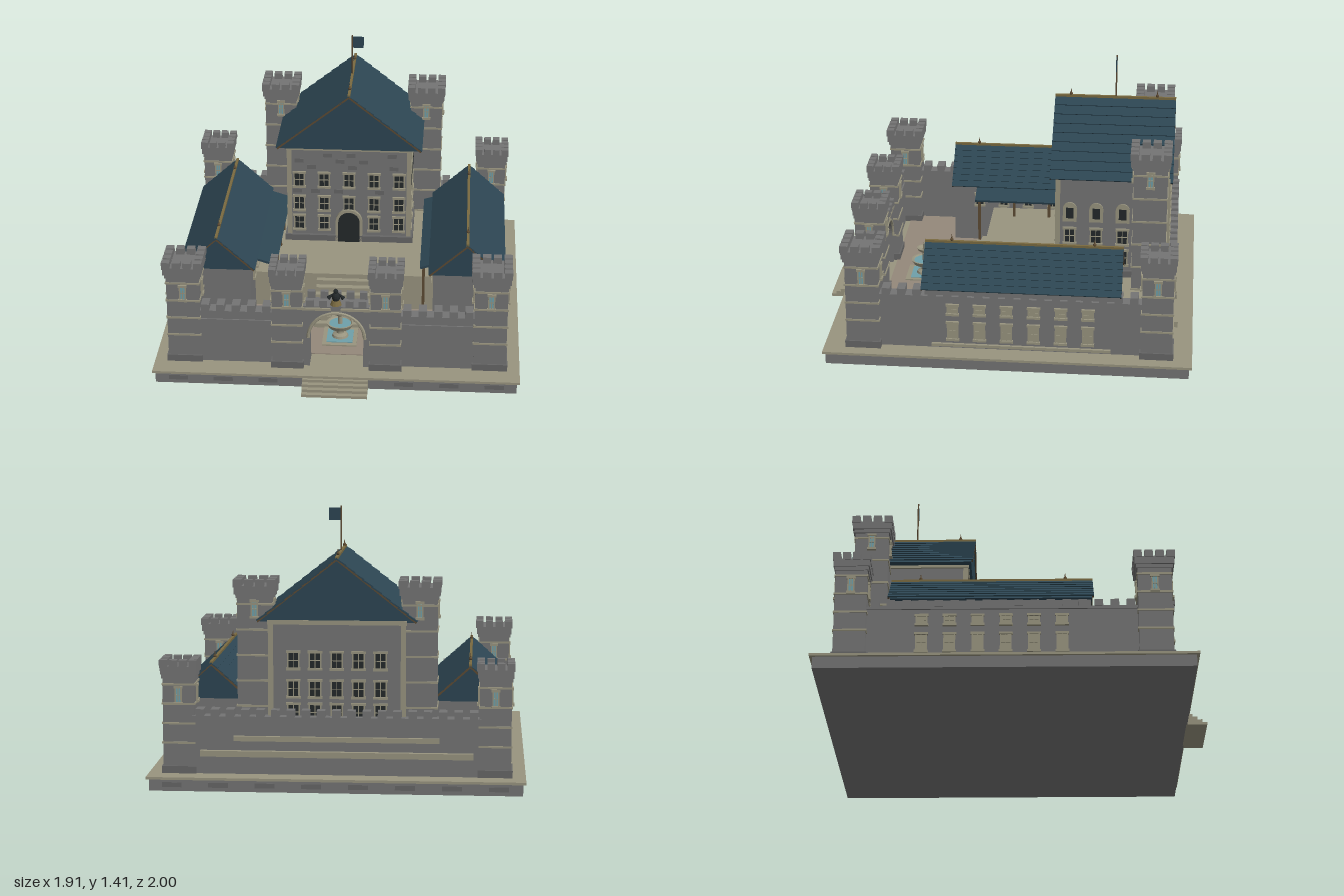
import * as THREE from 'three';

const mat = (color) => new THREE.MeshStandardMaterial({ color, side: THREE.DoubleSide, flatShading: true });
const STONE = mat(0x747474), DARKSTONE = mat(0x666666), BEIGE = mat(0x98947f), PAVING = mat(0x94887a);
const ROOF = mat(0x2c4552), DARK = mat(0x23282a), GLASS = mat(0x6fa0aa), WOOD = mat(0x5c4a33), GOLD = mat(0x7a6a40);

function add(parent, name, geo, material, x = 0, y = 0, z = 0) {
  const m = new THREE.Mesh(geo, material);
  m.name = name;
  m.position.set(x, y, z);
  parent.add(m);
  return m;
}

// box given by its extents
function box(parent, name, material, x0, x1, y0, y1, z0, z1) {
  return add(parent, name, new THREE.BoxGeometry(Math.abs(x1 - x0), y1 - y0, z1 - z0), material,
    (x0 + x1) / 2, (y0 + y1) / 2, (z0 + z1) / 2);
}

function group(parent, name, x = 0, y = 0, z = 0, ry = 0) {
  const g = new THREE.Group();
  g.name = name;
  g.position.set(x, y, z);
  g.rotation.y = ry;
  parent.add(g);
  return g;
}

// framed window facing +z of its own group, standing on y
function windowUnit(parent, x, y, z, ry, w, h, pane = DARK) {
  const g = group(parent, 'window', x, y, z, ry);
  box(g, 'pane', pane, -w / 2, w / 2, 0, h, -0.005, 0.004);
  for (const s of [-1, 1]) box(g, 'jamb', BEIGE, s * w / 2, s * (w / 2 + 0.007), 0, h, -0.005, 0.009);
  box(g, 'lintel', BEIGE, -w / 2 - 0.012, w / 2 + 0.012, h, h + 0.012, -0.005, 0.011);
  box(g, 'sill', BEIGE, -w / 2 - 0.012, w / 2 + 0.012, -0.012, 0, -0.005, 0.014);
  box(g, 'mullion', BEIGE, -0.002, 0.002, 0, h, 0, 0.007);
  box(g, 'transom', BEIGE, -w / 2, w / 2, h * 0.5 - 0.002, h * 0.5 + 0.002, 0, 0.007);
}

// upright shape with a round arched top
function archShape(Kind, halfW, y0, spring) {
  const s = new Kind();
  s.moveTo(-halfW, y0);
  s.lineTo(halfW, y0);
  s.lineTo(halfW, spring);
  s.absarc(0, spring, halfW, 0, Math.PI, false);
  s.lineTo(-halfW, y0);
  return s;
}

// square tower with string courses, corbelled head, merlons and slit windows
function tower(parent, name, x, z, w, head, top, bandStep, slitY) {
  const g = group(parent, name, x, 0, z), a = w / 2, b = head / 2, hy = top - 0.075;
  box(g, 'shaft', STONE, -a, a, 0.07, hy, -a, a);
  box(g, 'footing', DARKSTONE, -a - 0.008, a + 0.008, 0.07, 0.11, -a - 0.008, a + 0.008);
  for (let y = hy - 0.05; y > 0.15; y -= bandStep)
    box(g, 'stringCourse', BEIGE, -a - 0.005, a + 0.005, y - 0.005, y + 0.005, -a - 0.005, a + 0.005);
  box(g, 'corbel', STONE, -(a + b) / 2, (a + b) / 2, hy - 0.02, hy, -(a + b) / 2, (a + b) / 2);
  box(g, 'head', STONE, -b, b, hy, hy + 0.042, -b, b);
  const m = head * 0.17, step = (head - m) / 3;
  for (let i = 0; i < 4; i++) for (let j = 0; j < 4; j++) {
    if (i % 3 && j % 3) continue;
    const mx = -b + m / 2 + i * step, mz = -b + m / 2 + j * step;
    add(g, 'merlon', new THREE.BoxGeometry(m + 0.008, 0.04, m + 0.008), STONE, mx, top - 0.02, mz);
  }
  for (let k = 0; k < 4; k++) {
    const r = k * Math.PI / 2;
    windowUnit(g, Math.sin(r) * a, slitY, Math.cos(r) * a, r, 0.022, 0.07, GLASS);
  }
}

// crenellated wall running along x of its own group
function wall(parent, name, x, z, ry, len, thick = 0.055, y0 = 0.07, top = 0.37) {
  const g = group(parent, name, x, 0, z, ry), t = thick / 2, n = Math.round(len / 0.078);
  box(g, 'wallBody', STONE, -len / 2, len / 2, y0, top, -t, t);
  box(g, 'coping', STONE, -len / 2, len / 2, top - 0.015, top, -t - 0.008, t + 0.008);
  for (let i = 0; i < n; i++) {
    const cx = -len / 2 + (i + 0.5) * len / n;
    box(g, 'merlon', STONE, cx - 0.021, cx + 0.021, top, top + 0.035, -t - 0.009, t + 0.009);
  }
  return g;
}

// gabled roof along z with overlapping courses, ridge cap and finials
function roof(parent, name, x, half, eave, ridge, z0, z1, courses, finials) {
  const g = group(parent, name, x, 0, 0), len = z1 - z0, h = ridge - eave - 0.015;
  const tri = new THREE.Shape([new THREE.Vector2(-half + 0.01, eave), new THREE.Vector2(half - 0.01, eave), new THREE.Vector2(0, eave + h)]);
  add(g, 'gableBody', new THREE.ExtrudeGeometry(tri, { depth: len - 0.02, bevelEnabled: false }), ROOF, 0, 0, z0 + 0.01);
  const slope = Math.hypot(half, h), ang = Math.atan2(h, half);
  for (const s of [-1, 1]) for (let i = 0; i < courses; i++) {
    const t = (i + 0.5) / courses;
    const b = add(g, 'tileCourse', new THREE.BoxGeometry(slope / courses + 0.008, 0.007, len), ROOF,
      s * half * (1 - t), eave + h * t + 0.006, (z0 + z1) / 2);
    b.rotation.z = -s * (ang - 0.09);
  }
  for (const s of [-1, 1]) for (const z of [z0 + 0.004, z1 - 0.004]) {
    const v = add(g, 'verge', new THREE.BoxGeometry(slope, 0.01, 0.008), WOOD, s * half / 2, eave + h / 2, z);
    v.rotation.z = -s * ang;
  }
  box(g, 'ridgeCap', GOLD, -0.007, 0.007, ridge - 0.014, ridge, z0, z1);
  for (const z of finials) {
    add(g, 'finialBall', new THREE.SphereGeometry(0.009, 8, 6), WOOD, 0, ridge + 0.006, z);
    add(g, 'finialSpike', new THREE.ConeGeometry(0.006, 0.035, 6), WOOD, 0, ridge + 0.02, z);
  }
}

function keep(root) {
  const g = group(root, 'keep');
  box(g, 'keepWalls', STONE, -0.34, 0.34, 0.07, 0.86, -0.85, -0.26);
  box(g, 'keepPlinth', DARKSTONE, -0.36, 0.36, 0.28, 0.315, -0.87, -0.24);
  box(g, 'cornice', BEIGE, -0.352, 0.352, 0.835, 0.858, -0.862, -0.248);
  for (const x of [-0.335, 0.335]) for (const z of [-0.845, -0.265])
    box(g, 'quoinStrip', BEIGE, x - 0.013, x + 0.013, 0.28, 0.84, z - 0.013, z + 0.013);
  for (const y of [0.35, 0.47, 0.615]) {
    for (let i = -2; i <= 2; i++) {
      if (i || y > 0.4) windowUnit(g, i * 0.14, y, -0.26, 0, 0.05, 0.075);
      windowUnit(g, i * 0.11, y, -0.85, Math.PI, 0.05, 0.075);
    }
    for (const s of [-1, 1]) for (const z of [-0.33, -0.47, -0.61]) {
      if (y < 0.6) windowUnit(g, s * 0.34, y, z, s * Math.PI / 2, 0.05, 0.075);
      else {
        const a = group(g, 'archedWindow', s * 0.34, 0, z, s * Math.PI / 2);
        add(a, 'archedPane', new THREE.ExtrudeGeometry(archShape(THREE.Shape, 0.037, 0.59, 0.663), { depth: 0.008, bevelEnabled: false, curveSegments: 8 }), BEIGE);
        box(a, 'archedGlass', DARK, -0.02, 0.02, 0.61, 0.67, 0, 0.01);
      }
    }
  }
  // scattered facing stones
  for (let i = 0; i < 22; i++) {
    const x = -0.29 + ((i * 37) % 59) / 100, y = 0.57 + ((i * 5) % 7) * 0.037;
    if (y > 0.71 || y < 0.6) box(g, 'facingStone', DARKSTONE, x - 0.025, x + 0.025, y, y + 0.024, -0.262, -0.256);
  }
  const arch = archShape(THREE.Shape, 0.075, 0.28, 0.4);
  add(g, 'doorFrame', new THREE.ExtrudeGeometry(arch, { depth: 0.02, bevelEnabled: false, curveSegments: 12 }), BEIGE, 0, 0, -0.26);
  add(g, 'door', new THREE.ExtrudeGeometry(archShape(THREE.Shape, 0.06, 0.28, 0.4), { depth: 0.026, bevelEnabled: false, curveSegments: 12 }), DARK, 0, 0, -0.26);
  roof(g, 'keepRoof', 0, 0.4, 0.85, 1.18, -0.87, -0.225, 9, [-0.31, -0.77]);
  add(g, 'flagPole', new THREE.CylinderGeometry(0.004, 0.004, 0.24, 8), WOOD, 0, 1.29, -0.55);
  box(g, 'flag', ROOF, 0.003, 0.063, 1.335, 1.4, -0.552, -0.548);
}

function wing(root, s) {
  const g = group(root, s > 0 ? 'leftWing' : 'rightWing');
  box(g, 'wingWalls', STONE, s * 0.49, s * 0.835, 0.07, 0.42, -0.61, 0.385);
  roof(g, 'wingRoof', s * 0.67, 0.2, 0.41, 0.605, -0.63, 0.4, 7, [0.26, -0.48]);
  box(g, 'outerSill', BEIGE, s * 0.84, s * 0.86, 0.085, 0.1, -0.58, 0.35);
  for (let i = 0; i < 6; i++) {
    const z = 0.24 - i * 0.14;
    windowUnit(g, s * 0.847, 0.13, z, s * Math.PI / 2, 0.045, 0.085, BEIGE);
    windowUnit(g, s * 0.847, 0.275, z, s * Math.PI / 2, 0.045, 0.04, BEIGE);
    windowUnit(g, s * 0.49, 0.3, z, -s * Math.PI / 2, 0.04, 0.06);
  }
  // lean-to on the courtyard side
  const edge = s > 0 ? 0.42 : 0.365, w = 0.49 - edge;
  const r = add(g, 'leanToRoof', new THREE.BoxGeometry(w + 0.01, 0.012, 0.86), ROOF, s * (edge + w / 2), 0.392, -0.175);
  r.rotation.z = s * 0.3;
  for (let i = 0; i < 5; i++)
    box(g, 'leanToPost', WOOD, s * (edge + 0.008), s * (edge + 0.022), 0.28 - (i ? 0 : 0.21), 0.38, 0.225 - i * 0.2, 0.239 - i * 0.2);
}

function gate(root) {
  const g = group(root, 'gatehouse');
  const front = new THREE.Shape([[-0.18, 0.07], [0.18, 0.07], [0.18, 0.425], [-0.18, 0.425]].map((p) => new THREE.Vector2(...p)));
  front.holes.push(archShape(THREE.Path, 0.14, 0.071, 0.24));
  add(g, 'gateArch', new THREE.ExtrudeGeometry(front, { depth: 0.1, bevelEnabled: false, curveSegments: 16 }), STONE, 0, 0, 0.7);
  for (const z of [0.7, 0.8])
    add(g, 'archMoulding', new THREE.TorusGeometry(0.147, 0.009, 6, 20, Math.PI), BEIGE, 0, 0.24, z);
  box(g, 'gateCoping', BEIGE, -0.18, 0.18, 0.405, 0.418, 0.69, 0.81);
  for (const z of [0.7, 0.8]) for (let i = -2; i <= 2; i++)
    box(g, 'merlon', STONE, i * 0.068 - 0.02, i * 0.068 + 0.02, 0.425, 0.465, z - 0.012, z + 0.012);
  // ornament on a bracket above the arch
  const o = group(g, 'gateOrnament', 0, 0, 0.825);
  box(o, 'bracket', STONE, -0.025, 0.025, 0.43, 0.455, -0.03, 0.025);
  add(o, 'pedestal', new THREE.CylinderGeometry(0.02, 0.03, 0.025, 12), GOLD, 0, 0.467, 0);
  add(o, 'body', new THREE.SphereGeometry(0.022, 10, 8), DARK, 0, 0.498, 0).scale.y = 1.3;
  add(o, 'top', new THREE.SphereGeometry(0.013, 8, 6), DARK, 0, 0.535, 0.008);
  for (const s of [-1, 1]) add(o, 'sideLobe', new THREE.ConeGeometry(0.012, 0.04, 6), DARK, s * 0.026, 0.505, 0).rotation.z = s * 0.7;
}

function fountain(root) {
  const g = group(root, 'fountain', 0, 0, 0.5);
  box(g, 'pad', BEIGE, -0.092, 0.092, 0.07, 0.084, -0.097, 0.097);
  box(g, 'pool', GLASS, -0.07, 0.07, 0.084, 0.088, -0.07, 0.07);
  const pts = [[0, 0.085], [0.045, 0.085], [0.04, 0.1], [0.02, 0.11], [0.02, 0.125], [0.06, 0.145], [0.073, 0.17], [0.064, 0.17],
    [0.05, 0.155], [0.014, 0.15], [0.011, 0.21], [0.035, 0.225], [0.042, 0.24], [0.034, 0.24], [0.01, 0.23], [0.006, 0.265], [0, 0.28]];
  add(g, 'basins', new THREE.LatheGeometry(pts.map((p) => new THREE.Vector2(...p)), 20), BEIGE);
  add(g, 'water', new THREE.CylinderGeometry(0.065, 0.065, 0.003, 20), GLASS, 0, 0.163, 0);
}

export function createModel() {
  const root = new THREE.Group();
  root.name = 'castle';

  // ground platform with joints, paving, terrace and stairs
  box(root, 'plinth', STONE, -0.94, 0.94, 0, 0.06, -0.985, 0.895);
  box(root, 'platformSlab', BEIGE, -0.955, 0.955, 0.06, 0.073, -1, 0.91);
  for (let i = 0; i < 8; i++) {
    const c = -0.82 + i * 0.235;
    box(root, 'plinthStone', DARKSTONE, c - 0.05, c + 0.05, 0.02, 0.045, -0.987, 0.897);
  }
  box(root, 'courtyardPaving', PAVING, -0.78, 0.78, 0.07, 0.077, 0.16, 0.68);
  box(root, 'terrace', BEIGE, -0.78, 0.78, 0.07, 0.28, -0.85, 0.16);
  for (let i = 0; i < 8; i++)
    box(root, 'terraceStep', BEIGE, -0.15, 0.15, 0.07, 0.28 - i * 0.0255, 0.12 + i * 0.035, 0.155 + i * 0.035);
  for (let i = 0; i < 4; i++)
    box(root, 'entranceStep', BEIGE, -0.17, 0.17, 0.045 - i * 0.015, 0.06 - i * 0.015, 0.89, 0.925 + i * 0.025);

  keep(root);
  gate(root);
  fountain(root);

  for (const s of [-1, 1]) {
    wing(root, s);
    tower(root, 'frontCornerTower', s * 0.797, 0.705, 0.17, 0.2, 0.655, 0.1, 0.44);
    tower(root, 'backCornerTower', s * 0.8, -0.815, 0.16, 0.182, 0.655, 0.1, 0.44);
    tower(root, 'gateTower', s * 0.255, 0.75, 0.155, 0.175, 0.65, 0.1, 0.44);
    tower(root, 'keepTower', s * 0.417, -0.755, 0.175, 0.205, 1.06, 0.13, 0.875);
    const f = wall(root, 'frontWall', s * 0.525, 0.745, 0, 0.4);
    box(f, 'wallApron', STONE, -0.2, 0.2, 0.07, 0.32, -0.035, 0.035);
    wall(root, 'sideWall', s * 0.817, -0.055, Math.PI / 2, 1.36);
  }
  wall(root, 'backWall', 0, -0.867, 0, 1.46);
  box(root, 'lowerBackLedge', BEIGE, -0.69, 0.69, 0.165, 0.195, -0.92, -0.89);
  box(root, 'upperBackLedge', BEIGE, -0.52, 0.52, 0.245, 0.27, -0.912, -0.89);
  return root;
}
